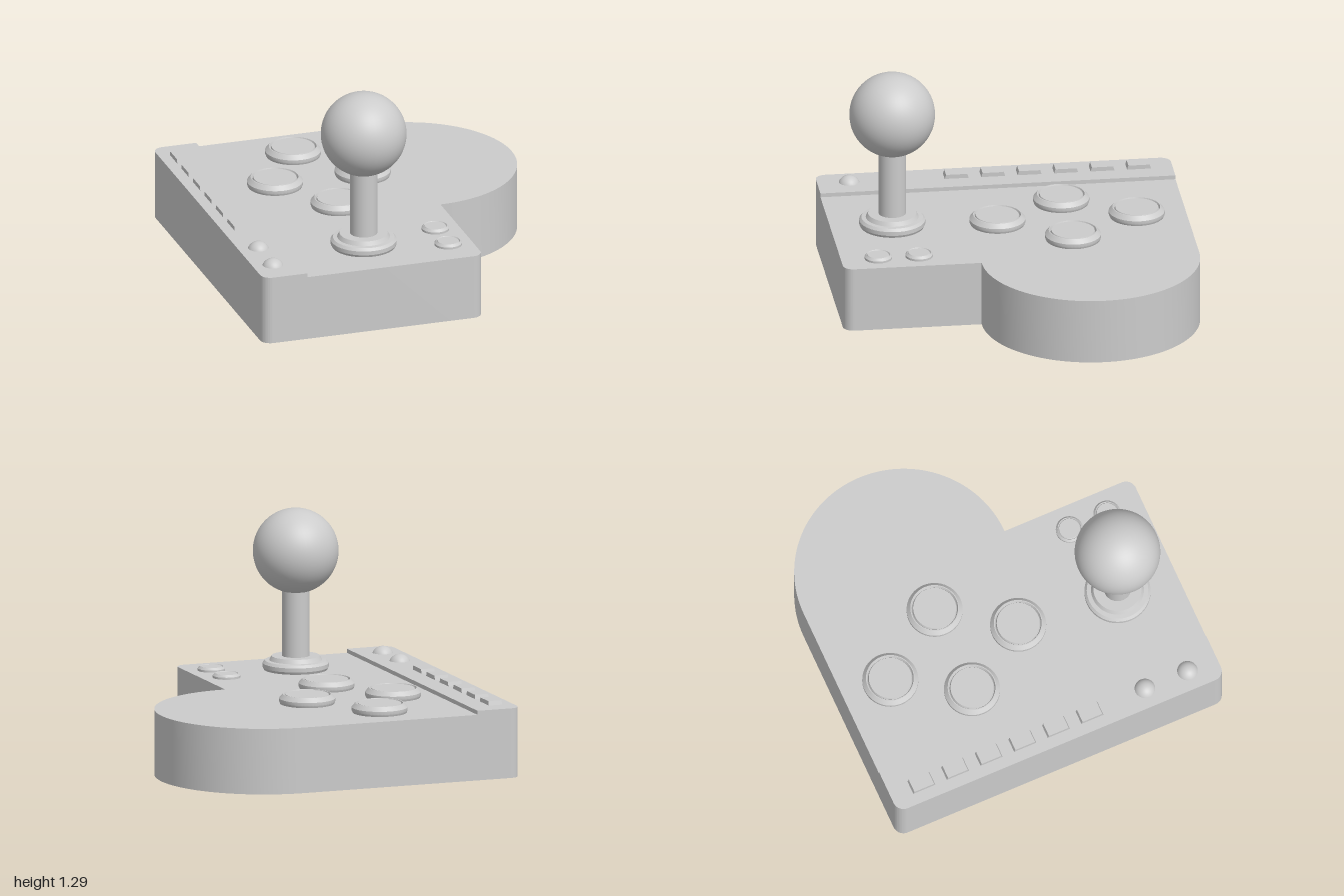
import * as THREE from 'three';
import { toCreasedNormals } from 'three/addons/utils/BufferGeometryUtils.js';

const material = new THREE.MeshStandardMaterial({ color: 0xcccccc });

export function createModel() {
  const model = new THREE.Group();
  model.name = 'arcadeController';

  const add = (name, geometry, x = 0, y = 0, z = 0) => {
    const mesh = new THREE.Mesh(geometry, material);
    mesh.name = name;
    mesh.position.set(x, y, z);
    model.add(mesh);
    return mesh;
  };

  // Plan shapes are drawn in (x, -z) and raised along y
  const slab = (shape, height) => {
    const g = new THREE.ExtrudeGeometry(shape, { depth: height, bevelEnabled: false, curveSegments: 32 });
    g.rotateX(-Math.PI / 2);
    return toCreasedNormals(g, 0.5);
  };

  // Turned part with crisp edges
  const turned = (profile, segments = 48) => toCreasedNormals(
    new THREE.LatheGeometry(profile.map(([r, y]) => new THREE.Vector2(r, y)), segments), 0.4);

  const L = -0.96, R = 0.335, S = -0.7, c = 0.06, deck = 0.373;

  // Case: rectangle with a half-round lobe on one side
  const plan = new THREE.Shape();
  plan.moveTo(L + c, -1);
  plan.lineTo(R - c, -1);
  plan.absarc(R - c, -1 + c, c, -Math.PI / 2, 0, false);
  plan.lineTo(R, -0.225);
  plan.absarc(0.3425, 0.3875, 0.6125, -Math.PI / 2, Math.PI / 2, false);
  plan.lineTo(L + c, 1);
  plan.absarc(L + c, 1 - c, c, Math.PI / 2, Math.PI, false);
  plan.lineTo(L, -1 + c);
  plan.absarc(L + c, -1 + c, c, Math.PI, Math.PI * 1.5, false);
  add('case', slab(plan, deck));

  // Raised strip along the straight edge
  const strip = new THREE.Shape();
  strip.moveTo(L + c, -1);
  strip.lineTo(S, -1);
  strip.lineTo(S, 1);
  strip.lineTo(L + c, 1);
  strip.absarc(L + c, 1 - c, c, Math.PI / 2, Math.PI, false);
  strip.lineTo(L, -1 + c);
  strip.absarc(L + c, -1 + c, c, Math.PI, Math.PI * 1.5, false);
  add('controlStrip', slab(strip, 0.023), 0, deck, 0);

  // Keys with slightly tapered ends
  const keySide = new THREE.Shape([[-0.068, 0], [0.068, 0], [0.06, 0.026], [-0.06, 0.026]]
    .map(([x, y]) => new THREE.Vector2(x, y)));
  const key = new THREE.ExtrudeGeometry(keySide, { depth: 0.08, bevelEnabled: false });
  key.translate(0, 0, -0.04);
  key.rotateY(Math.PI / 2);
  for (let i = 0; i < 6; i++) add('stripKey' + (i + 1), key, -0.855, 0.394, -0.81 + i * 0.2055);

  // Domed buttons on the strip
  const dome = new THREE.SphereGeometry(0.063, 32, 12, 0, Math.PI * 2, 0, Math.PI / 2);
  for (const z of [0.56, 0.82]) add('domeButton', dome, -0.845, 0.371, z);

  // Large action buttons: chamfered rim, narrow groove, flat cap
  const action = turned([[0, 0], [0.152, 0], [0.157, 0.012], [0.157, 0.03], [0.136, 0.054],
    [0.131, 0.054], [0.125, 0.04], [0.12, 0.052], [0, 0.052]]);
  for (const [x, z] of [[-0.222, -0.72], [-0.458, -0.325], [0.058, -0.325], [-0.212, 0.066]]) {
    add('actionButton', action, x, deck, z);
  }

  // Small buttons near the front corner
  const small = turned([[0, 0], [0.077, 0], [0.077, 0.012], [0.066, 0.024], [0.062, 0.018],
    [0.058, 0.023], [0, 0.023]], 32);
  for (const z of [0.56, 0.79]) add('smallButton', small, 0.195, deck, z);

  // Joystick: stepped collar, shaft and ball
  const jx = -0.257, jz = 0.653;
  add('stickCollar', turned([[0, 0], [0.178, 0], [0.185, 0.014], [0.185, 0.037], [0.172, 0.052],
    [0.148, 0.054], [0.135, 0.077], [0, 0.077]]), jx, deck, jz);
  add('stickShaft', new THREE.CylinderGeometry(0.077, 0.077, 0.42, 32), jx, 0.64, jz);
  add('stickBall', new THREE.SphereGeometry(0.24, 48, 32), jx, 1.047, jz);

  return model;
}
